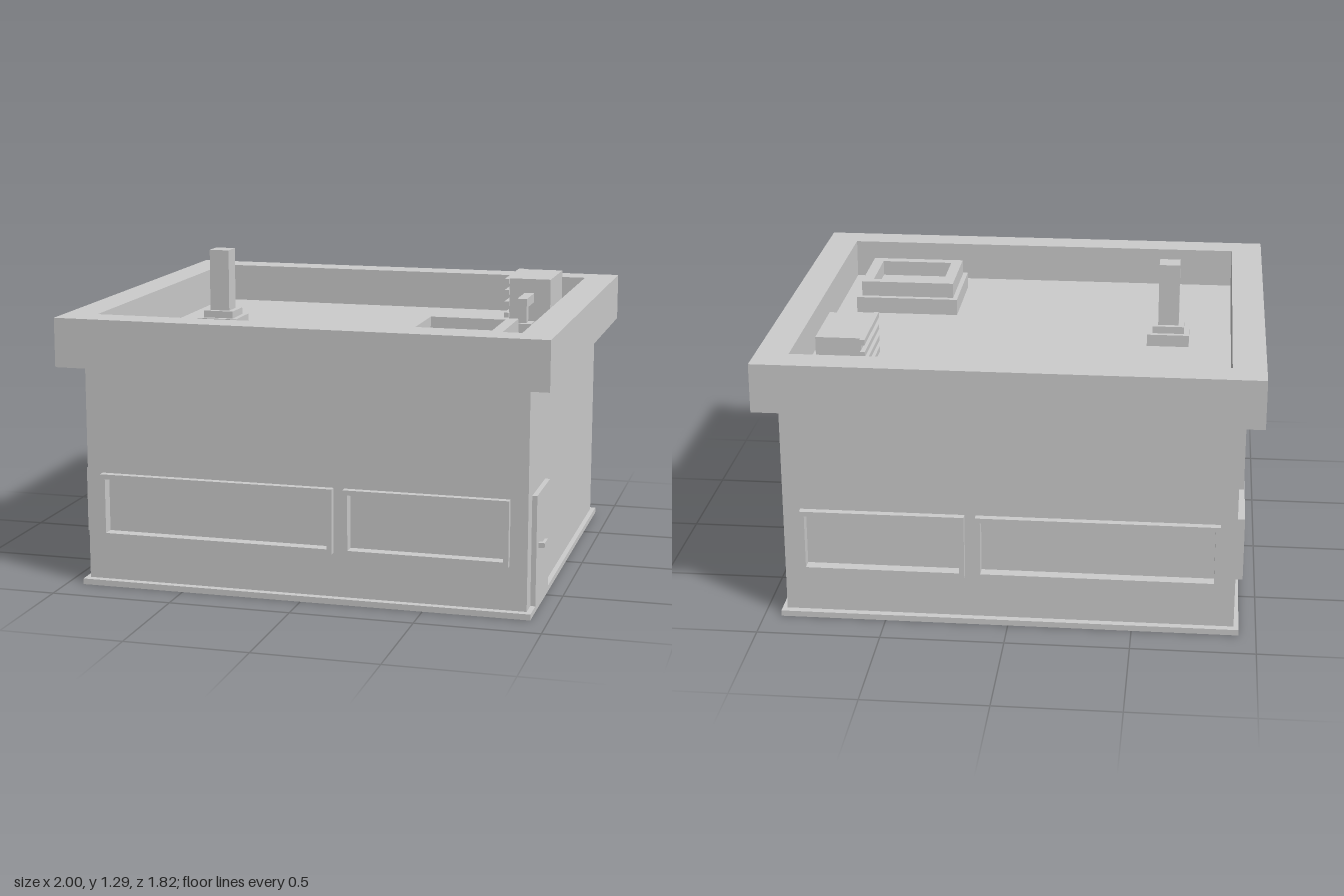
import * as THREE from 'three';

const material = new THREE.MeshStandardMaterial({ color: 0xcccccc, flatShading: true });

function add(parent, name, geometry, x = 0, y = 0, z = 0) {
  const mesh = new THREE.Mesh(geometry, material);
  mesh.name = name;
  mesh.position.set(x, y, z);
  parent.add(mesh);
  return mesh;
}

// Box given by its limits on each axis
function block(parent, name, [x0, x1], [y0, y1], [z0, z1]) {
  return add(parent, name, new THREE.BoxGeometry(x1 - x0, y1 - y0, z1 - z0),
    (x0 + x1) / 2, (y0 + y1) / 2, (z0 + z1) / 2);
}

function trace(path, [x0, x1, y0, y1]) {
  path.moveTo(x0, y0);
  path.lineTo(x1, y0);
  path.lineTo(x1, y1);
  path.lineTo(x0, y1);
  path.closePath();
  return path;
}

function rectWithHoles(outer, holes = []) {
  const shape = trace(new THREE.Shape(), outer);
  holes.forEach((hole) => shape.holes.push(trace(new THREE.Path(), hole)));
  return shape;
}

const inset = ([x0, x1, y0, y1], d) => [x0 + d, x1 - d, y0 + d, y1 - d];
const extrude = (shape, depth) => new THREE.ExtrudeGeometry(shape, { depth, bevelEnabled: false });

function frame(parent, name, rect, border, z0, z1) {
  return add(parent, name, extrude(rectWithHoles(rect, [inset(rect, border)]), z1 - z0), 0, 0, z0);
}

// One wall in its own frame: x to the right, y up, z outward
function makeWall(parent, name, angle, distance, halfWidth, windows, doorway) {
  const side = new THREE.Group();
  side.name = name;
  side.rotation.y = angle;
  side.position.set(Math.sin(angle) * distance, 0, Math.cos(angle) * distance);
  parent.add(side);

  const holes = windows.map((rect) => inset(rect, 0.01));
  if (doorway) holes.push(doorway);
  add(side, 'wallFace', new THREE.ShapeGeometry(rectWithHoles([-halfWidth, halfWidth, 0, 0.92], holes)));
  for (const rect of windows) {
    frame(side, 'windowFrame', rect, 0.02, -0.02, 0.03);
    add(side, 'windowPane', new THREE.ShapeGeometry(rectWithHoles(inset(rect, 0.01))), 0, 0, -0.018);
  }
  return side;
}

export function createModel() {
  const model = new THREE.Group();
  model.name = 'shopBuilding';

  // Ground slab
  block(model, 'groundSlab', [-0.93, 0.93], [0, 0.024], [-0.85, 0.85]);

  // Long walls, each with a wide and a narrow window
  const wide = [-0.845, 0.13, 0.205, 0.47];
  const narrow = [0.175, 0.84, 0.205, 0.47];
  const mirror = ([x0, x1, y0, y1]) => [-x1, -x0, y0, y1];
  makeWall(model, 'frontWall', 0, 0.82, 0.91, [wide, narrow]);
  makeWall(model, 'backWall', Math.PI, 0.82, 0.91, [mirror(wide), mirror(narrow)]);

  // Entrance wall with open doorway, two windows and a sign panel
  const small = [0.36, 0.76, 0.205, 0.47];
  const entrance = makeWall(model, 'entranceWall', -Math.PI / 2, 0.91, 0.82,
    [small, mirror(small)], [-0.31, 0.31, 0.024, 0.45]);
  const surround = new THREE.Shape();
  [[-0.33, 0.02], [-0.305, 0.02], [-0.305, 0.45], [0.305, 0.45], [0.305, 0.02],
    [0.33, 0.02], [0.33, 0.47], [-0.33, 0.47]].forEach(([x, y], i) =>
    (i ? surround.lineTo(x, y) : surround.moveTo(x, y)));
  add(entrance, 'doorwaySurround', extrude(surround, 0.14), 0, 0, -0.12);
  const sign = [-0.67, 0.67, 0.56, 0.82];
  frame(entrance, 'signFrame', sign, 0.015, 0, 0.022);
  add(entrance, 'signPanel', extrude(rectWithHoles(inset(sign, 0.01)), 0.014));

  // Service wall with a closed door
  const service = makeWall(model, 'serviceWall', Math.PI / 2, 0.91, 0.82, []);
  block(service, 'serviceDoor', [-0.74, -0.45], [0.02, 0.47], [-0.01, 0.02]);
  block(service, 'doorHandle', [-0.695, -0.625], [0.25, 0.27], [0.033, 0.045]);
  block(service, 'handleStem', [-0.695, -0.675], [0.25, 0.27], [0.02, 0.035]);

  // Parapet ring and roof deck
  const parapet = add(model, 'parapet',
    extrude(rectWithHoles([-1, 1, -0.91, 0.91], [[-0.867, 0.867, -0.778, 0.778]]), 0.2), 0, 0.915, 0);
  parapet.rotation.x = -Math.PI / 2;
  const deck = add(model, 'roofDeck', new THREE.PlaneGeometry(1.76, 1.58), 0, 0.95, 0);
  deck.rotation.x = -Math.PI / 2;

  // Chimney on a stepped foot
  const chimney = new THREE.Group();
  chimney.name = 'chimney';
  chimney.position.set(-0.602, 0, 0);
  model.add(chimney);
  for (const [name, r, y0, y1] of [['chimneyFoot', 0.088, 0.95, 1.0],
    ['chimneyStep', 0.066, 1.0, 1.03], ['chimneyShaft', 0.043, 1.03, 1.293]]) {
    block(chimney, name, [-r, r], [y0, y1], [-r, r]);
  }

  // Skylight: base block with an open frame on top
  block(model, 'skylightBase', [0.333, 0.777], [0.95, 1.02], [0.24, 0.64]);
  const curb = add(model, 'skylightFrame',
    extrude(rectWithHoles([0.353, 0.757, -0.62, -0.267], [[0.4, 0.71, -0.575, -0.305]]), 0.065), 0, 1.02, 0);
  curb.rotation.x = -Math.PI / 2;

  // Air conditioner with louvres and an elbow pipe
  const cooler = new THREE.Group();
  cooler.name = 'airConditioner';
  model.add(cooler);
  block(cooler, 'coolerBody', [0.595, 0.777], [0.95, 1.157], [-0.69, -0.38]);
  for (let i = 0; i < 4; i++) {
    const y = 0.985 + i * 0.05;
    block(cooler, 'louvre', [0.577, 0.597], [y, y + 0.022], [-0.71, -0.36]);
  }
  block(cooler, 'pipeAcross', [0.663, 0.705], [1.055, 1.095], [-0.385, -0.203]);
  block(cooler, 'pipeDown', [0.663, 0.705], [0.98, 1.055], [-0.245, -0.203]);
  block(cooler, 'pipeFoot', [0.64, 0.728], [0.95, 0.99], [-0.27, -0.183]);

  return model;
}
